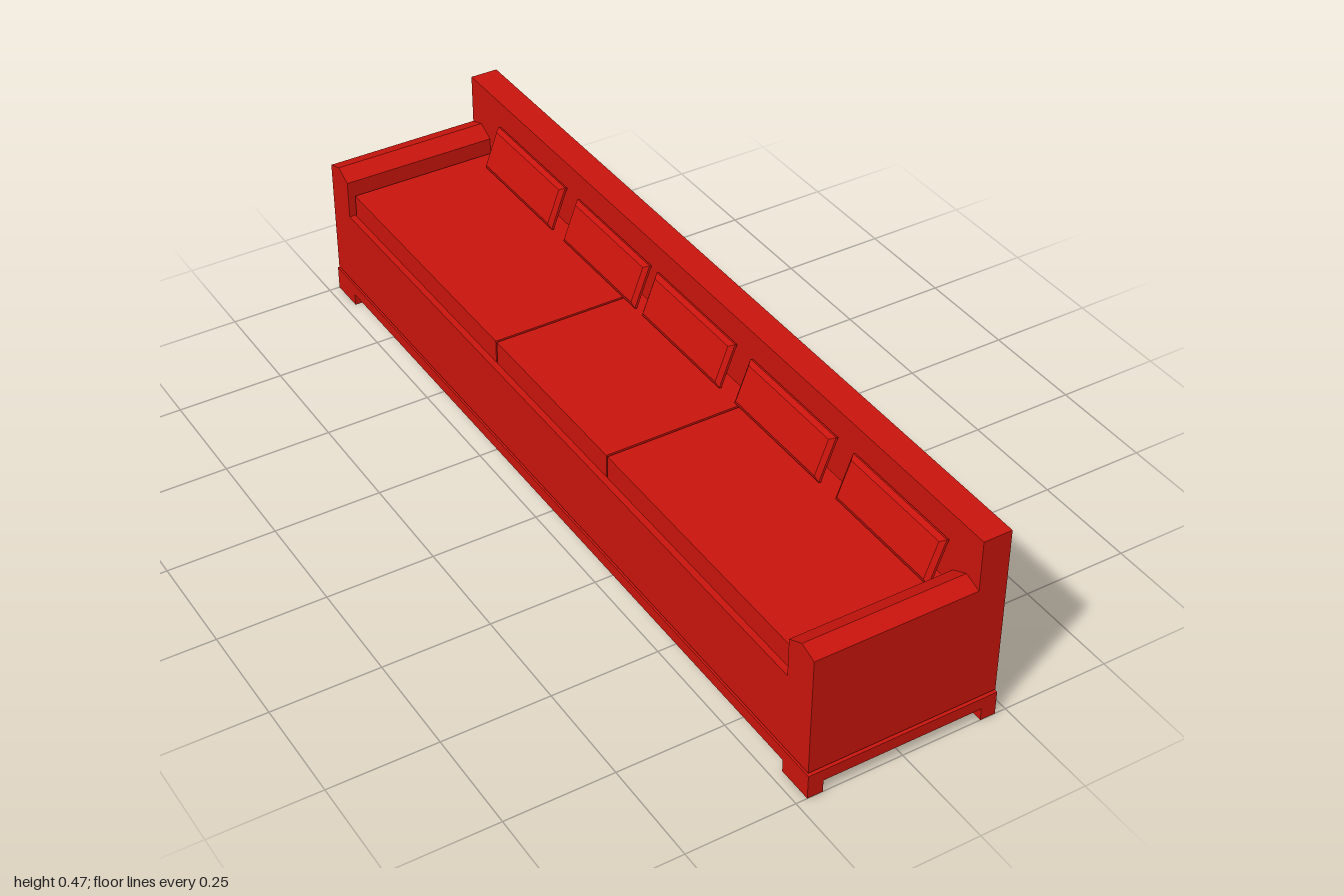
import * as THREE from 'three';

const red = new THREE.MeshStandardMaterial({ color: 0xc8140c, flatShading: true });

export function createModel() {
  const sofa = new THREE.Group();
  sofa.name = 'sofa';

  const add = (name, geometry) => {
    const mesh = new THREE.Mesh(geometry, red);
    mesh.name = name;
    sofa.add(mesh);
    return mesh;
  };
  // Box given by its limits on each axis
  const box = (name, x0, x1, y0, y1, z0, z1) =>
    add(name, new THREE.BoxGeometry(x1 - x0, y1 - y0, z1 - z0))
      .position.set((x0 + x1) / 2, (y0 + y1) / 2, (z0 + z1) / 2);

  // Plinth with a foot at each corner
  box('plinth', -0.224, 0.224, 0.03, 0.058, -1, 1);
  for (const sx of [-1, 1]) {
    for (const sz of [-1, 1]) {
      const x = sx * 0.206, z = sz * 0.957;
      box('foot', x - 0.018, x + 0.018, 0, 0.03, z - 0.043, z + 0.043);
    }
  }

  // Seat body and backrest, floating just above the plinth
  box('seatBody', -0.222, 0.155, 0.063, 0.25, -0.914, 0.914);
  box('backrest', 0.155, 0.222, 0.063, 0.47, -0.996, 0.996);

  // Armrests with a low ridged top, extruded along x
  for (const side of [-1, 1]) {
    const outline = [[0.996, 0.063], [0.996, 0.349], [0.955, 0.363], [0.914, 0.342], [0.914, 0.063]];
    const shape = new THREE.Shape(outline.map(([z, y]) => new THREE.Vector2(-side * z, y)));
    const arm = new THREE.ExtrudeGeometry(shape, { depth: 0.377, bevelEnabled: false });
    arm.rotateY(Math.PI / 2);
    arm.translate(-0.222, 0, 0);
    add('armrest', arm);
  }

  // Three seat cushions
  for (const [z0, z1] of [[-0.908, -0.236], [-0.231, 0.228], [0.233, 0.902]]) {
    box('seatCushion', -0.207, 0.155, 0.25, 0.306, z0, z1);
  }

  // Five bevelled pillows leaning on the backrest
  const w = 0.145, h = 0.043;
  const face = new THREE.Shape([[-w, -h], [w, -h], [w, h], [-w, h]].map(p => new THREE.Vector2(...p)));
  const pillow = new THREE.ExtrudeGeometry(face, {
    depth: 0.006, bevelThickness: 0.008, bevelSize: 0.01, bevelSegments: 1,
  });
  pillow.translate(0, 0, -0.003);
  pillow.rotateY(Math.PI / 2);
  pillow.rotateZ(-0.36);
  for (const z of [-0.697, -0.333, 0.007, 0.376, 0.745]) {
    add('pillow', pillow).position.set(0.13, 0.36, z);
  }

  return sofa;
}
